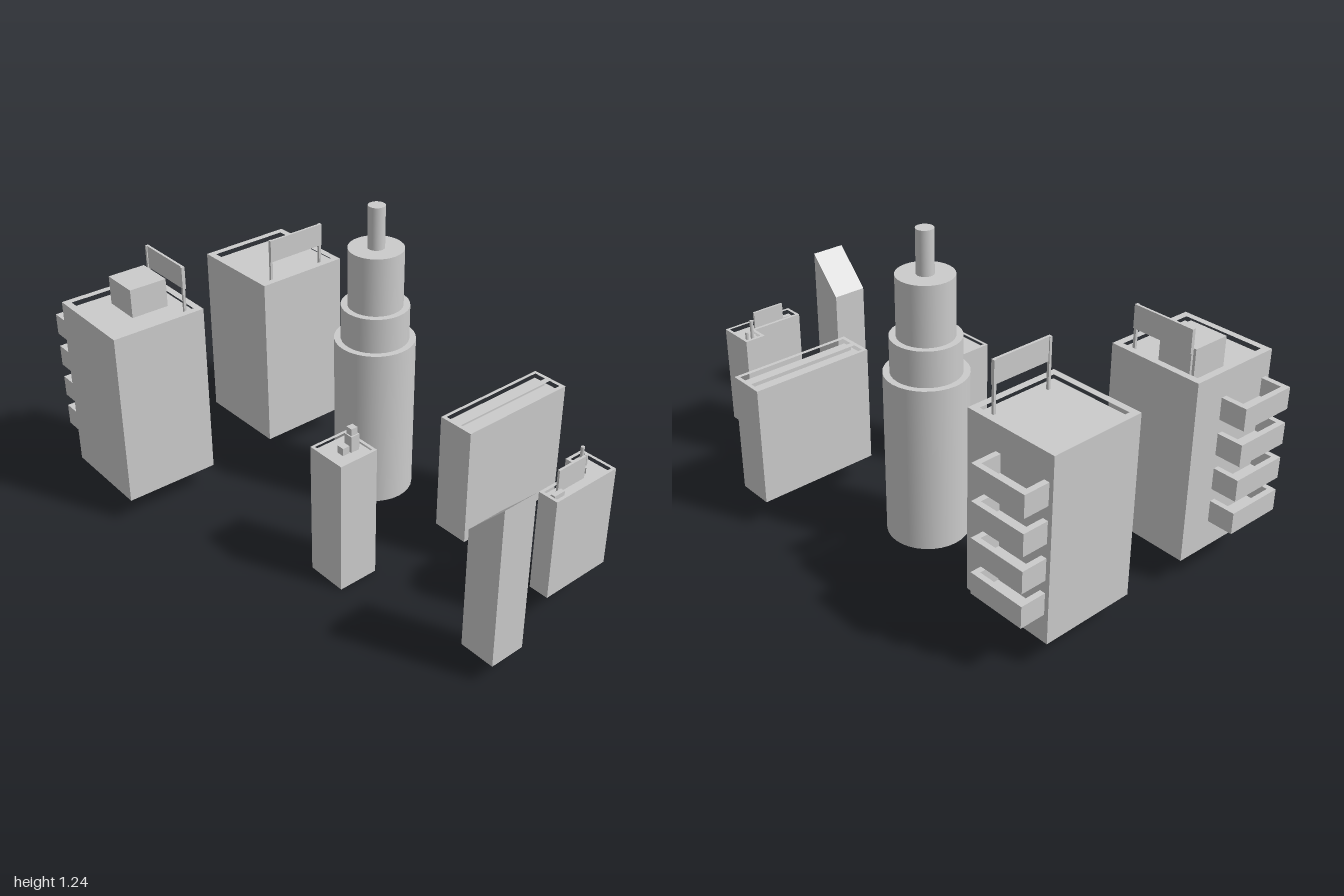
import * as THREE from 'three';

const grey = new THREE.MeshStandardMaterial({ color: 0xcccccc });

function add(parent, name, geometry) {
  const mesh = new THREE.Mesh(geometry, grey);
  mesh.name = name;
  parent.add(mesh);
  return mesh;
}

// Box given by its limits on each axis
function box(parent, name, x0, x1, y0, y1, z0, z1) {
  const mesh = add(parent, name, new THREE.BoxGeometry(x1 - x0, y1 - y0, z1 - z0));
  mesh.position.set((x0 + x1) / 2, (y0 + y1) / 2, (z0 + z1) / 2);
  return mesh;
}

const rect = (x0, x1, z0, z1) => [[x0, z0], [x1, z0], [x1, z1], [x0, z1]];

// Upright prism from a plan outline of [x, z] points, with optional holes
function prism(parent, name, outline, y0, y1, holes = []) {
  const toPoints = (pts) => pts.map(([x, z]) => new THREE.Vector2(x, -z));
  const shape = new THREE.Shape(toPoints(outline));
  shape.holes = holes.map((h) => new THREE.Path(toPoints(h)));
  const geometry = new THREE.ExtrudeGeometry(shape, { depth: y1 - y0, bevelEnabled: false });
  geometry.rotateX(-Math.PI / 2);
  geometry.translate(0, y0, 0);
  return add(parent, name, geometry);
}

// Solid body whose roof is sunk inside one or more openings
function sunkenBlock(parent, outline, y0, y1, holes, depth) {
  prism(parent, 'body', outline, y0, y1 - depth);
  prism(parent, 'parapet', outline, y1 - depth, y1, holes);
}

function group(parent, name) {
  const g = new THREE.Group();
  g.name = name;
  parent.add(g);
  return g;
}

// Large block: parapet roof, billboard along +z, balconies on +x
function apartmentBlock(parent, name, x, z, turn) {
  const g = group(parent, name);
  const h = 0.192, r = 0.165, roof = 0.775;
  sunkenBlock(g, rect(-h, h, -h, h), 0.1, 0.81, [rect(-r, r, -r, r)], 0.81 - roof);

  box(g, 'billboardPanel', -0.131, 0.123, 0.88, 0.97, 0.15, 0.16);
  for (const px of [-0.126, 0.118]) {
    box(g, 'billboardPost', px - 0.005, px + 0.005, roof, 0.97, 0.146, 0.156);
  }

  // Open trough balconies, one per floor
  for (const y of [0.21, 0.345, 0.485, 0.625]) {
    const z0 = -0.175, z1 = 0.06, x1 = 0.295, t = 0.022;
    box(g, 'balconyFloor', h, x1, y, y + 0.015, z0, z1);
    prism(g, 'balconyRail', [
      [h, z0], [x1, z0], [x1, z1], [h, z1],
      [h, z1 - t], [x1 - t, z1 - t], [x1 - t, z0 + t], [h, z0 + t],
    ], y + 0.015, y + 0.085);
  }
  g.position.set(x, 0, z);
  g.rotation.y = turn;
  return g;
}

export function createModel() {
  const model = new THREE.Group();
  model.name = 'cityBuildings';

  // Two large apartment blocks at the back
  apartmentBlock(model, 'rightBackBlock', 0.217, -0.705, 0);
  const hutBlock = apartmentBlock(model, 'leftBackBlock', -0.45, -0.708, Math.PI / 2 - 0.02);
  box(hutBlock, 'roofHut', -0.03, 0.125, 0.775, 0.89, -0.02, 0.135);

  // Stepped round tower
  const tower = group(model, 'roundTower');
  tower.position.set(0.217, 0, -0.083);
  const tiers = [[0.155, 0.045, 0.7], [0.13, 0.7, 0.84], [0.105, 0.84, 1.07], [0.0325, 1.07, 1.235]];
  for (const [r, y0, y1] of tiers) {
    add(tower, 'towerTier', new THREE.CylinderGeometry(r, r, y1 - y0, 32)).position.y = (y0 + y1) / 2;
  }

  // Slim square tower with rooftop units
  const slim = group(model, 'slimTower');
  sunkenBlock(slim, rect(-0.29, -0.125, 0.15, 0.316), 0, 0.54, [rect(-0.278, -0.137, 0.162, 0.304)], 0.02);
  box(slim, 'roofUnit', -0.187, -0.15, 0.52, 0.585, 0.213, 0.25);
  box(slim, 'roofUnitCap', -0.182, -0.155, 0.585, 0.613, 0.218, 0.245);
  box(slim, 'lowRoofUnit', -0.222, -0.193, 0.52, 0.55, 0.218, 0.247);

  // Long slab with two roof channels
  const slab = group(model, 'slabBlock');
  sunkenBlock(slab, rect(0.143, 0.64, 0.357, 0.505), 0.11, 0.585,
    [rect(0.158, 0.625, 0.37, 0.418), rect(0.158, 0.625, 0.442, 0.49)], 0.03);

  // L-shaped block with a sign and two vent pipes
  const corner = group(model, 'cornerBlock');
  const t = 0.012, xa = 0.113, xb = 0.327, xc = 0.413, za = 0.783, zb = 0.853, zc = 0.933;
  sunkenBlock(corner,
    [[xa, zb], [xb, zb], [xb, za], [xc, za], [xc, zc], [xa, zc]], 0.14, 0.545,
    [[[xa + t, zb + t], [xb + t, zb + t], [xb + t, za + t], [xc - t, za + t], [xc - t, zc - t], [xa + t, zc - t]]],
    0.025);
  box(corner, 'roofSign', 0.182, 0.316, 0.52, 0.61, 0.868, 0.877);
  box(corner, 'lowRoofUnit', 0.14, 0.19, 0.52, 0.538, 0.882, 0.9);
  for (const [x, top] of [[0.357, 0.605], [0.381, 0.562]]) {
    const pipe = add(corner, 'ventPipe', new THREE.CylinderGeometry(0.007, 0.007, top - 0.52, 12));
    pipe.position.set(x, (top + 0.52) / 2, 0.827);
  }

  // Tower with a roof sloping down to the back
  const profile = new THREE.Shape([[-1, 0.078], [-0.858, 0.078], [-0.858, 0.56], [-1, 0.713]]
    .map(([u, y]) => new THREE.Vector2(u, y)));
  const wedge = new THREE.ExtrudeGeometry(profile, { depth: 0.143, bevelEnabled: false });
  wedge.rotateY(Math.PI / 2);
  wedge.translate(-0.222, 0, 0);
  add(model, 'slopedRoofTower', wedge);

  return model;
}
